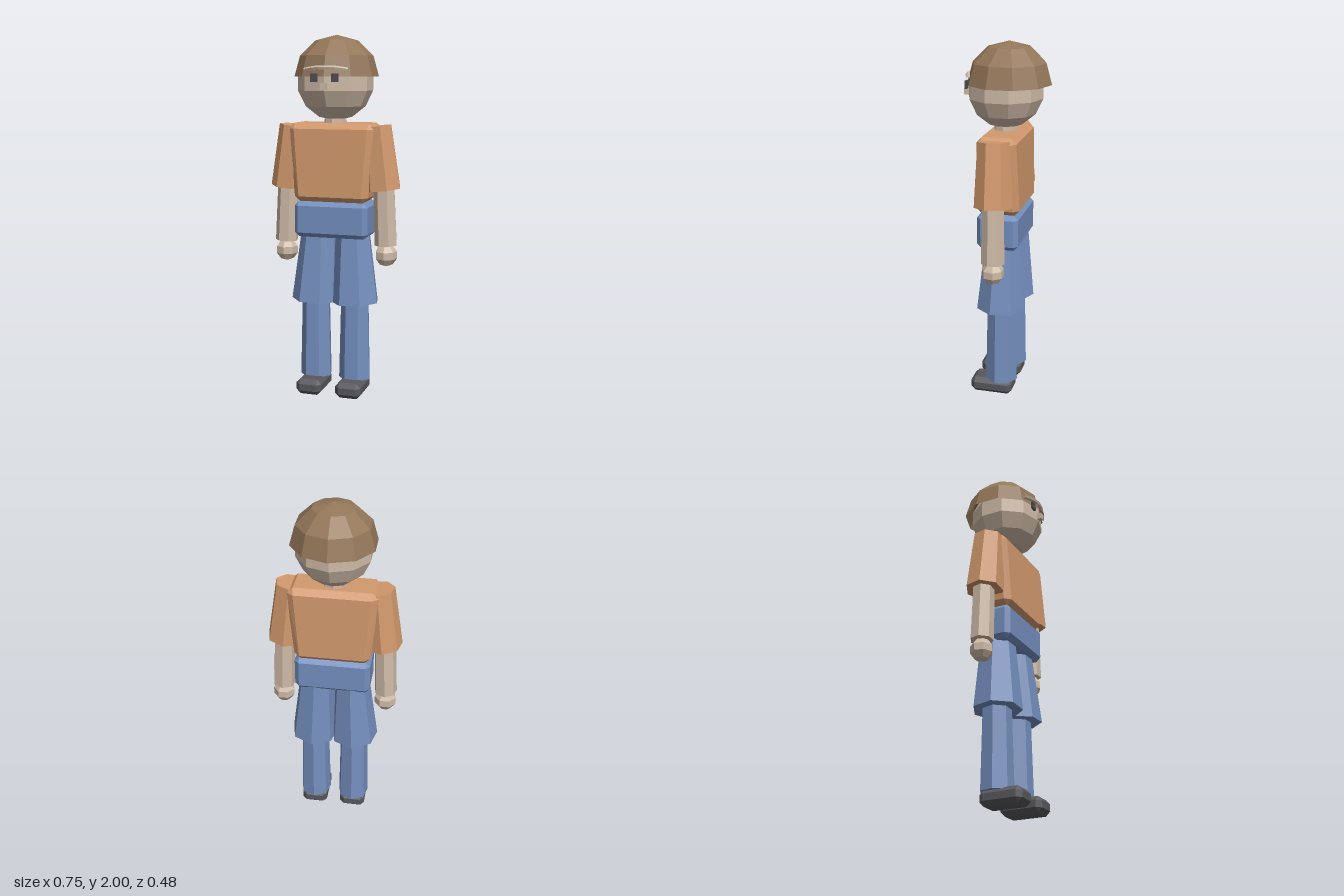
import * as THREE from 'three';
import { ConvexGeometry } from 'three/addons/geometries/ConvexGeometry.js';

const mat = (name, color, side = THREE.FrontSide) => {
  const m = new THREE.MeshStandardMaterial({ color, side });
  m.name = name;
  m.flatShading = true;
  return m;
};

export function createModel() {
  const skin = mat('skin', 0xcfbba8);
  const shirt = mat('orange shirt', 0xd2996d);
  const denim = mat('blue denim', 0x758fbe);
  const capBrown = mat('brown cap', 0x94775a, THREE.DoubleSide);
  const shoeGrey = mat('shoe grey', 0x58575c);
  const eyeDark = mat('eye dark', 0x4b4e56);

  const root = new THREE.Group();
  root.name = 'figure';

  const add = (name, geo, material, x = 0, y = 0, z = 0) => {
    const mesh = new THREE.Mesh(geo, material);
    mesh.name = name;
    mesh.position.set(x, y, z);
    root.add(mesh);
    return mesh;
  };

  // Box with chamfered edges; taper scales the top against the bottom
  const chamferBox = (w, h, d, c, taperX = 1, taperZ = 1) => {
    const pts = [];
    for (const sx of [-1, 1]) for (const sy of [-1, 1]) for (const sz of [-1, 1]) {
      for (let axis = 0; axis < 3; axis++) {
        const x = sx * (w / 2 - (axis === 0 ? 0 : c));
        const y = sy * (h / 2 - (axis === 1 ? 0 : c));
        const z = sz * (d / 2 - (axis === 2 ? 0 : c));
        const t = y / h + 0.5;
        pts.push(new THREE.Vector3(x * (1 + (taperX - 1) * t), y, z * (1 + (taperZ - 1) * t)));
      }
    }
    return new ConvexGeometry(pts);
  };

  // Seven-sided limb segment between two points, flat side to the front
  const limb = (name, material, top, bottom, rTop, rBottom) => {
    const a = new THREE.Vector3(...top), b = new THREE.Vector3(...bottom);
    const dir = a.clone().sub(b);
    const geo = new THREE.CylinderGeometry(rTop, rBottom, dir.length(), 7, 1, false, Math.PI);
    const mesh = add(name, geo, material);
    mesh.position.copy(a).add(b).multiplyScalar(0.5);
    mesh.quaternion.setFromUnitVectors(new THREE.Vector3(0, 1, 0), dir.normalize());
  };

  // Trunk
  add('torso', chamferBox(0.415, 0.435, 0.24, 0.032, 1.2, 0.89), shirt, 0, 1.308, 0.008);
  add('pelvis', chamferBox(0.42, 0.2, 0.23, 0.025), denim, 0, 0.995, 0.01);
  add('neck', new THREE.CylinderGeometry(0.062, 0.065, 0.08, 8), skin, 0, 1.54, 0.01);

  // Head and cap
  add('head', new THREE.SphereGeometry(0.211, 10, 7, Math.PI / 2), skin, 0, 1.747, 0.01);
  const cap = add('cap', new THREE.SphereGeometry(0.232, 10, 3, Math.PI / 2, Math.PI * 2, 0, Math.PI / 2),
    capBrown, 0, 1.775, -0.01);
  cap.scale.y = 0.225 / 0.232;

  // Face
  const browCurve = new THREE.CatmullRomCurve3([
    new THREE.Vector3(-0.12, 1.81, 0.182),
    new THREE.Vector3(-0.06, 1.819, 0.204),
    new THREE.Vector3(0, 1.821, 0.213),
    new THREE.Vector3(0.06, 1.819, 0.204),
    new THREE.Vector3(0.12, 1.81, 0.182),
  ]);
  add('brow', new THREE.TubeGeometry(browCurve, 8, 0.012, 5), skin);
  add('nose', new THREE.BoxGeometry(0.03, 0.036, 0.034), skin, 0, 1.723, 0.223);

  for (const s of [1, -1]) {
    const side = s > 0 ? 'left' : 'right';
    add(side + 'Eye', new THREE.BoxGeometry(0.037, 0.043, 0.012), eyeDark, s * 0.058, 1.769, 0.211);

    // Arm
    limb(side + 'Sleeve', shirt, [s * 0.235, 1.51, 0.014], [s * 0.271, 1.164, 0.009], 0.087, 0.105);
    limb(side + 'Forearm', skin, [s * 0.278, 1.2, 0.008], [s * 0.292, 0.855, 0.008], 0.06, 0.064);
    add(side + 'Hand', new THREE.SphereGeometry(0.064, 7, 5, Math.PI / 2), skin, s * 0.292, 0.8, 0.008);

    // Leg
    limb(side + 'Thigh', denim, [s * 0.1, 0.95, 0], [s * 0.117, 0.522, 0.01], 0.095, 0.136);
    limb(side + 'Shin', denim, [s * 0.115, 0.56, 0.005], [s * 0.115, 0.08, 0.007], 0.08, 0.091);
    add(side + 'Shoe', chamferBox(0.148, 0.088, 0.24, 0.025), shoeGrey, s * 0.115, 0.044, 0.056);
  }
  return root;
}
